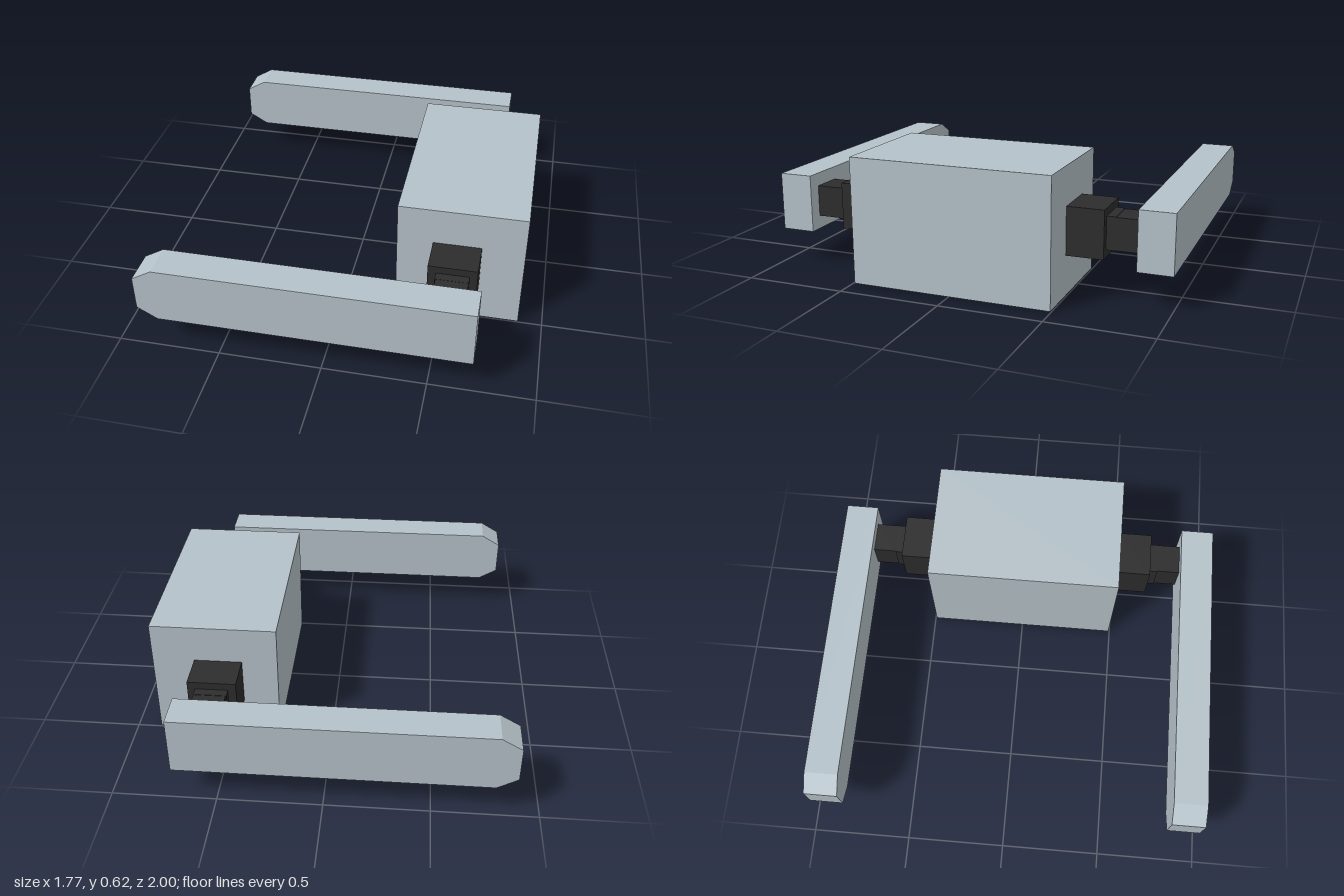
import * as THREE from 'three';

export function createModel() {
  const model = new THREE.Group();
  model.name = 'model';

  const paleGrey = new THREE.MeshStandardMaterial({ color: 0xb5c2c9 });
  paleGrey.name = 'pale blue grey';
  const charcoal = new THREE.MeshStandardMaterial({ color: 0x2d2d2d });
  charcoal.name = 'charcoal';

  // Box from its minimum and maximum corners
  function addBox(parent, name, material, [x0, y0, z0], [x1, y1, z1]) {
    const mesh = new THREE.Mesh(new THREE.BoxGeometry(x1 - x0, y1 - y0, z1 - z0), material);
    mesh.position.set((x0 + x1) / 2, (y0 + y1) / 2, (z0 + z1) / 2);
    mesh.name = name;
    parent.add(mesh);
  }

  // Central block
  addBox(model, 'body', paleGrey, [0.265, 0, -0.494], [0.882, 0.617, 0.494]);

  // Arm outline with a chamfered tip
  const outline = new THREE.Shape([
    [0.705, 0.168], [0.705, 0.455], [-0.788, 0.455],
    [-0.885, 0.398], [-0.885, 0.225], [-0.788, 0.168],
  ].map(([x, y]) => new THREE.Vector2(x, y)));
  const armGeometry = new THREE.ExtrudeGeometry(outline, { depth: 0.168, bevelEnabled: false });

  // Matching joint and arm on each side, the back one turned about x
  for (const [name, angle] of [['frontSide', 0], ['backSide', Math.PI]]) {
    const side = new THREE.Group();
    side.name = name;
    addBox(side, 'shoulder', charcoal, [0.44, 0.195, 0.494], [0.675, 0.428, 0.672]);
    addBox(side, 'shaftCollar', charcoal, [0.479, 0.232, 0.672], [0.638, 0.391, 0.715]);
    addBox(side, 'shaft', charcoal, [0.483, 0.234, 0.715], [0.638, 0.39, 0.832]);
    const arm = new THREE.Mesh(armGeometry, paleGrey);
    arm.name = 'arm';
    arm.position.z = 0.832;
    side.add(arm);

    // Turn about the joint axis at y = 0.3115
    side.rotation.x = angle;
    side.position.y = angle ? 0.623 : 0;
    model.add(side);
  }

  return model;
}
